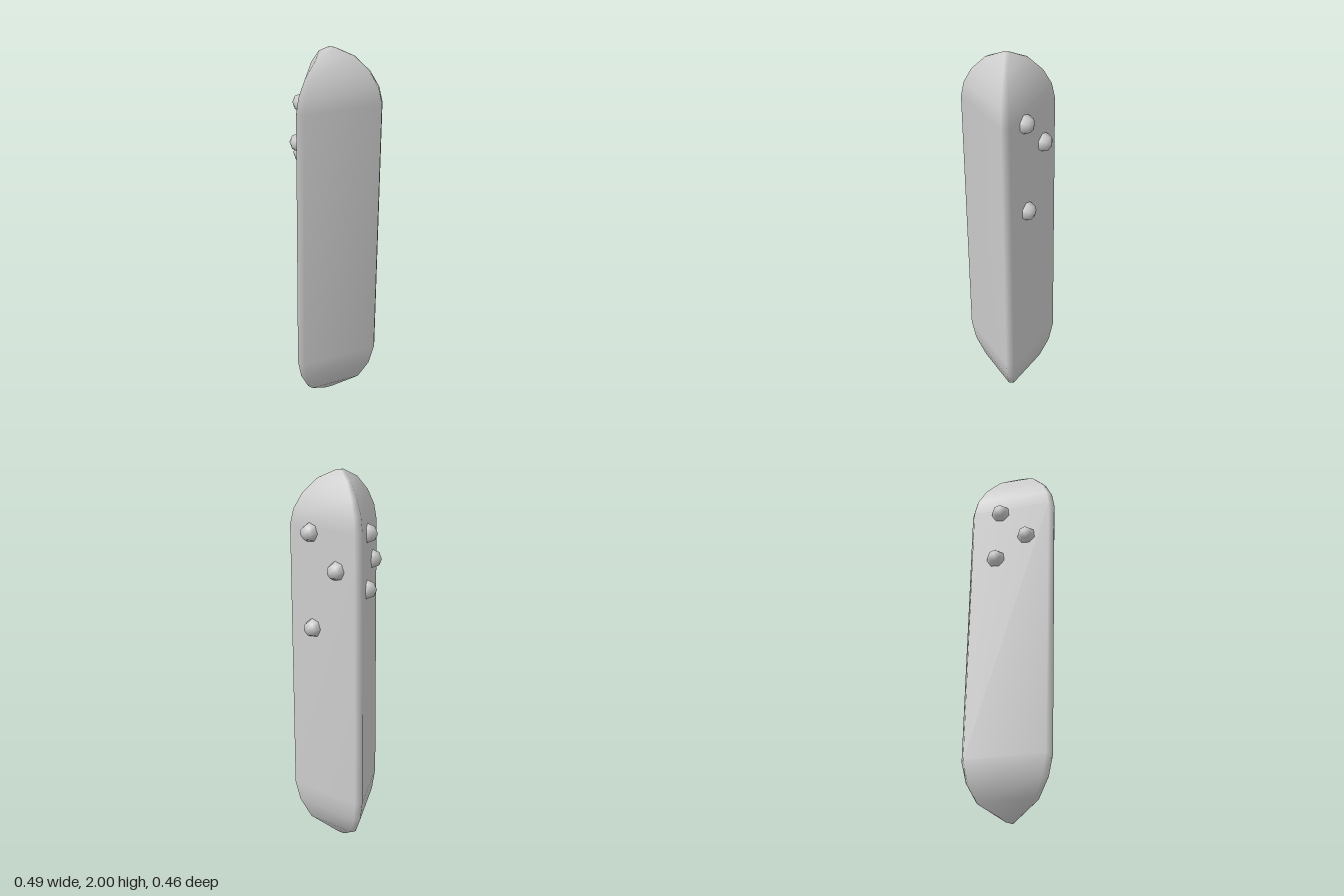
import * as THREE from 'three';

// Centre of the slightly leaning axis at height y
const axisAt = (y) => [0.015 + (y - 1.72) * 0.0165, -0.028 + (y - 1.72) * 0.0122];

// Triangular cross-section with bevelled corners, [x, z] about the axis
const section = [
  [0.033, 0.256], [-0.014, 0.256], [-0.237, -0.1],
  [-0.217, -0.137], [0.207, -0.155], [0.228, -0.119],
];

// Rings from bottom to top, [y, scale]
const rings = [
  [0.01, 0.1], [0.095, 0.67], [0.195, 0.9], [0.3, 1],
  [1.72, 1], [1.8, 0.93], [1.88, 0.75], [1.955, 0.45], [1.998, 0.08],
];

function bodyGeometry() {
  const pos = [], index = [], n = section.length;
  for (const [y, s] of rings) {
    const [cx, cz] = axisAt(y);
    for (const [x, z] of section) pos.push(cx + x * s, y, cz + z * s);
  }
  for (let r = 0; r < rings.length - 1; r++) {
    for (let i = 0; i < n; i++) {
      const j = (i + 1) % n, a = r * n, b = a + n;
      index.push(a + i, b + i, a + j, a + j, b + i, b + j);
    }
  }
  // End tips
  const top = (rings.length - 1) * n, tip = pos.length / 3;
  for (const y of [0.005, 2]) {
    const [cx, cz] = axisAt(y);
    pos.push(cx, y, cz);
  }
  for (let i = 0; i < n; i++) {
    const j = (i + 1) % n;
    index.push(tip, i, j, tip + 1, top + j, top + i);
  }
  const g = new THREE.BufferGeometry();
  g.setAttribute('position', new THREE.Float32BufferAttribute(pos, 3));
  g.setIndex(index);
  g.computeVertexNormals();
  return g;
}

export function createModel() {
  const model = new THREE.Group();
  model.name = 'studdedPrism';
  const grey = new THREE.MeshStandardMaterial({ color: 0xcccccc });
  grey.name = 'light grey';

  const body = new THREE.Mesh(bodyGeometry(), grey);
  body.name = 'body';
  model.add(body);

  // Round studs half sunk into two of the faces
  const studGeometry = new THREE.SphereGeometry(0.05, 7, 4);
  const up = new THREE.Vector3(0, 1, 0);
  const addStuds = (name, normal, points) => {
    for (const p of points) {
      const stud = new THREE.Mesh(studGeometry, grey);
      stud.name = name;
      stud.position.set(...p);
      stud.quaternion.setFromUnitVectors(up, normal.clone().normalize());
      model.add(stud);
    }
  };
  addStuds('rightStud', new THREE.Vector3(-0.356, 0, 0.223), [
    [-0.142, 1.695, 0], [-0.065, 1.535, 0.122], [-0.157, 1.415, -0.02],
  ]);
  addStuds('backStud', new THREE.Vector3(-0.04, 0, -1), [
    [0.085, 1.695, -0.177], [-0.09, 1.525, -0.172], [0.065, 1.205, -0.182],
  ]);
  return model;
}
